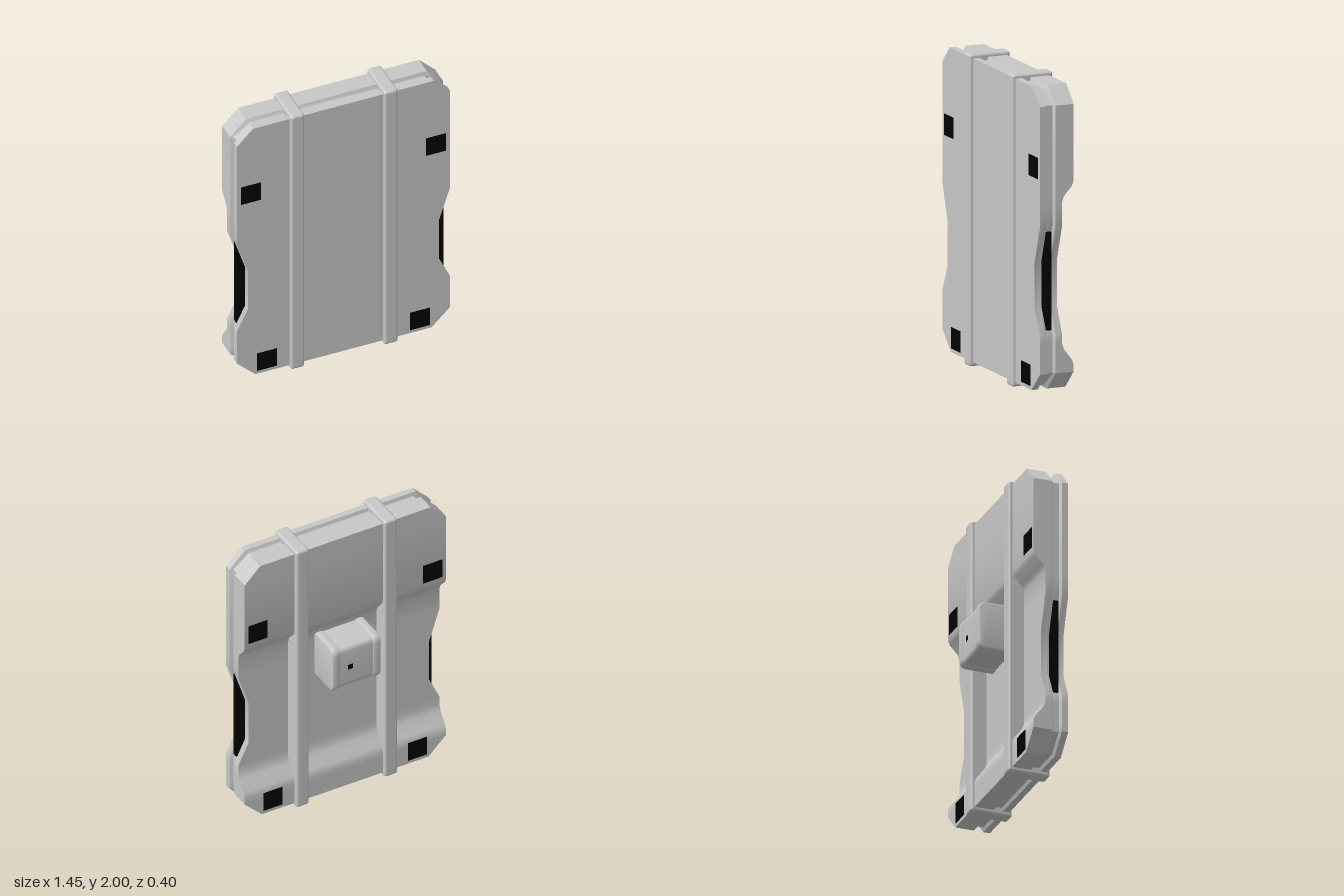
import * as THREE from 'three';
import { toCreasedNormals } from 'three/addons/utils/BufferGeometryUtils.js';
import { RoundedBoxGeometry } from 'three/addons/geometries/RoundedBoxGeometry.js';

const FRONT = 0.178;
const BACK = -0.055;
const FLOOR = 0.025;
const BOTTOM = 0.028;
const TOP = 1.975;

// Slab outline, bottom to top: [y, half width, z of the back surface]
const ROWS = [
  [BOTTOM, 0.60, BACK], [0.15, 0.725, BACK], [0.20, 0.725, BACK], [0.23, 0.725, -0.042],
  [0.30, 0.725, 0.012], [0.34, 0.725, FLOOR], [0.40, 0.725, FLOOR], [0.56, 0.65, FLOOR],
  [0.86, 0.65, FLOOR], [1.09, 0.725, FLOOR], [1.24, 0.725, FLOOR], [1.28, 0.725, 0.012],
  [1.34, 0.725, -0.042], [1.37, 0.725, BACK], [1.865, 0.725, BACK], [TOP, 0.615, BACK],
];

// Layers from front to back: [z, inset]; null takes z from the rows
const LAYERS = [[FRONT, 0], [0.135, 0], [0.125, 0.022], [0.082, 0.022], [0.07, 0], [null, 0]];

// Slab with a groove around its rim and a hollow across its back
function slabGeometry() {
  const n = ROWS.length;
  const rings = LAYERS.map(([z, inset]) => {
    const side = (s) => ROWS.map(([y, w, back]) => new THREE.Vector3(
      s * (w - inset),
      THREE.MathUtils.clamp(y, BOTTOM + inset, TOP - inset),
      z === null ? back : z));
    return [...side(1), ...side(-1).reverse()];
  });
  const points = [];
  const quad = (a, b, c, d) => points.push(a, b, c, a, c, d);
  for (let k = 0; k < rings.length - 1; k++) {
    for (let i = 0; i < 2 * n; i++) {
      const j = (i + 1) % (2 * n);
      quad(rings[k][i], rings[k + 1][i], rings[k + 1][j], rings[k][j]);
    }
  }
  const first = rings[0];
  const last = rings[rings.length - 1];
  for (let i = 0; i < n - 1; i++) {
    const l = 2 * n - 1 - i;
    quad(first[i], first[i + 1], first[l - 1], first[l]);
    quad(last[l], last[l - 1], last[i + 1], last[i]);
  }
  return toCreasedNormals(new THREE.BufferGeometry().setFromPoints(points), 0.5);
}

// Rounded profile in the side plane, extruded along x and centred on x = 0
function gripGeometry(width, inset, bevel) {
  const x0 = -FLOOR - 0.01;
  const x1 = 0.203 - inset - bevel;
  const y0 = 0.91 + inset + bevel;
  const y1 = 1.235 - inset - bevel;
  const r = 0.04;
  const shape = new THREE.Shape();
  shape.moveTo(x0, y0);
  shape.lineTo(x1 - r, y0);
  shape.quadraticCurveTo(x1, y0, x1, y0 + r);
  shape.lineTo(x1, y1 - r);
  shape.quadraticCurveTo(x1, y1, x1 - r, y1);
  shape.lineTo(x0, y1);
  const depth = width - 2 * bevel;
  const geometry = new THREE.ExtrudeGeometry(shape, {
    depth, curveSegments: 6, bevelEnabled: bevel > 0,
    bevelSize: bevel, bevelThickness: bevel, bevelSegments: 2,
  });
  geometry.translate(0, 0, -depth / 2);
  geometry.rotateY(Math.PI / 2);
  return toCreasedNormals(geometry, 0.6);
}

export function createModel() {
  const model = new THREE.Group();
  const grey = new THREE.MeshStandardMaterial({ color: 0xc7c7c7 });
  grey.name = 'light grey';
  const black = new THREE.MeshStandardMaterial({ color: 0x020202 });
  black.name = 'black';

  const add = (name, geometry, material, x = 0, y = 0, z = 0) => {
    const mesh = new THREE.Mesh(geometry, material);
    mesh.name = name;
    mesh.position.set(x, y, z);
    model.add(mesh);
  };

  add('slab', slabGeometry(), grey);

  // Block on the back: body and a small dark marker
  add('gripBody', gripGeometry(0.25, 0.008, 0), grey);
  add('gripMarker', new THREE.BoxGeometry(0.035, 0.035, 0.004), black, 0.045, 1.068, -0.195);

  const strap = new RoundedBoxGeometry(0.095, 2, 0.28, 3, 0.018);
  const band = gripGeometry(0.06, 0, 0.014);
  const bar = new THREE.BoxGeometry(0.1, 0.63, 0.032);
  const patch = new THREE.BoxGeometry(0.137, 0.137, 0.004);

  for (const [side, s] of [['left', 1], ['right', -1]]) {
    add(side + 'Strap', strap, grey, s * 0.318, 1, 0.06);
    add(side + 'GripBand', band, grey, s * 0.145);
    // Bar bridging the notch in the side
    add(side + 'NotchBar', bar, black, s * 0.655, 0.74, 0.105);
    // Square pads on both faces
    for (const [face, z] of [['Front', FRONT], ['Back', BACK]]) {
      add(side + face + 'UpperPad', patch, black, s * 0.63, 1.467, z);
      add(side + face + 'LowerPad', patch, black, s * 0.521, 0.12, z);
    }
  }
  return model;
}
